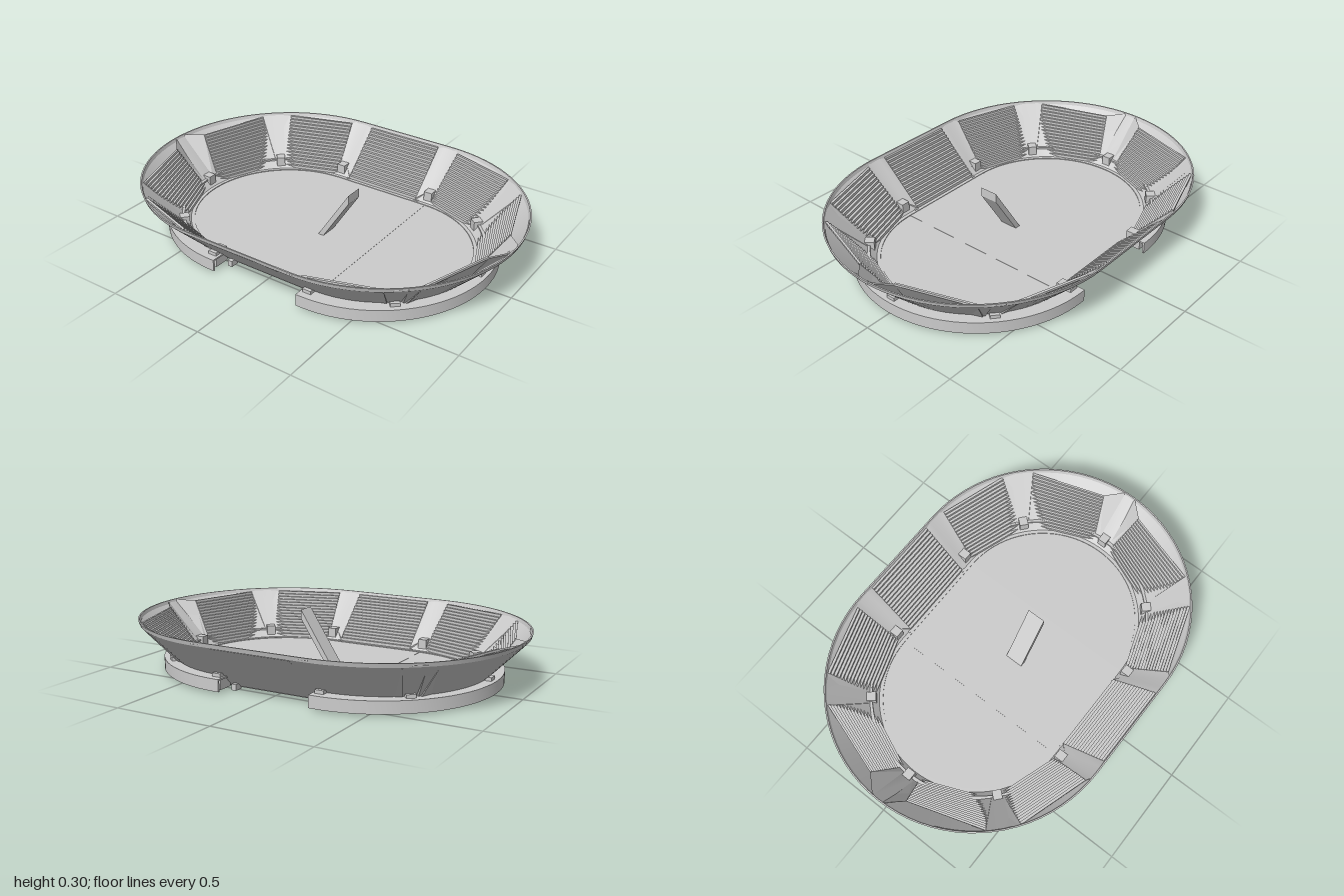
import * as THREE from 'three';
import { toCreasedNormals } from 'three/addons/utils/BufferGeometryUtils.js';

const material = new THREE.MeshStandardMaterial({ color: 0xcccccc, side: THREE.DoubleSide });
const V = (x, y, z) => new THREE.Vector3(x, y, z);

// Skin solid through successive four-point cross-sections
function loft(frames, { closed = false, flip = false } = {}, out = []) {
  const quad = (a, b, c, d) => {
    const tri = flip ? [a, c, b, a, d, c] : [a, b, c, a, c, d];
    tri.forEach((p) => out.push(p.x, p.y, p.z));
  };
  const count = frames.length;
  for (let j = 0; j < (closed ? count : count - 1); j++) {
    const a = frames[j], b = frames[(j + 1) % count];
    for (let k = 0; k < 4; k++) {
      const n = (k + 1) % 4;
      quad(a[k], a[n], b[n], b[k]);
    }
  }
  if (!closed) {
    const s = frames[0], e = frames[count - 1];
    quad(s[0], s[3], s[2], s[1]);
    quad(e[0], e[1], e[2], e[3]);
  }
  return out;
}

function addMesh(group, name, data) {
  let geometry = data;
  if (Array.isArray(data)) {
    geometry = new THREE.BufferGeometry();
    geometry.setAttribute('position', new THREE.Float32BufferAttribute(data, 3));
    geometry = toCreasedNormals(geometry, 0.4);
  }
  const mesh = new THREE.Mesh(geometry, material);
  mesh.name = name;
  group.add(mesh);
  return mesh;
}

// Half of a rounded-end oval: [centre x, angle] stations
function halfPath(c, side, gap = c) {
  const path = [];
  const start = side > 0 ? -Math.PI / 2 : Math.PI / 2;
  if (gap !== c) path.push([side * gap, start]);
  for (let i = 0; i <= 40; i++) path.push([side * c, start + (Math.PI * i) / 40]);
  if (gap !== c) path.push([side * gap, start + Math.PI]);
  return path;
}
const sections = (path, profile) =>
  path.map(([cx, a]) => profile.map(([r, y]) => V(cx + r * Math.cos(a), y, r * Math.sin(a))));

// Block of stepped seat rows between two sloping edges
function seatBlock(e0, e1, sx, sz) {
  const rows = 16, y0 = 0.03, y1 = 0.25, out = [];
  const at = (e, s, y) => V(
    sx * THREE.MathUtils.lerp(e.bottom[0], e.top[0], s), y,
    sz * THREE.MathUtils.lerp(e.bottom[1], e.top[1], s));
  for (let i = 0; i < rows; i++) {
    const s0 = i / rows, s1 = (i + 1) / rows;
    const base0 = y0 + (y1 - y0) * s0 - 0.01;
    const base1 = y0 + (y1 - y0) * s1 - 0.01;
    const tread = y0 + (y1 - y0) * s1;
    const frames = [e0, e1].map((e) =>
      [at(e, s0, base0), at(e, s1, base1), at(e, s1, tread), at(e, s0, tread)]);
    loft(frames, { flip: sx * sz < 0 }, out);
  }
  return out;
}

const C = 0.275;
const edge = (bottom, top) => ({ bottom, top });
const edges = {
  endNear: edge([0.78, 0.05], [0.92, 0.11]),
  endFar: edge([0.645, 0.37], [0.80, 0.48]),
  cornerNear: edge([0.59, 0.40], [0.68, 0.59]),
  cornerFar: edge([0.295, 0.50], [0.335, 0.70]),
  middleNear: edge([0.21, 0.49], [0.21, 0.715]),
  middleFar: edge([-0.21, 0.49], [-0.21, 0.715]),
};
const endNearMirror = edge([0.78, -0.05], [0.92, -0.11]);

// Smooth chute with splayed cheeks between two seat blocks
function aisle(e0, e1, angle, sx, sz) {
  const dx = Math.cos(angle), dz = Math.sin(angle), w = 0.028;
  const line = (side) => [[0.525, 0.065], [0.722, 0.262]].map(([r, y]) =>
    V(sx * (C + dx * r - dz * w * side), y, sz * (dz * r + dx * w * side)));
  const fromEdge = (e) => [
    V(sx * e.bottom[0], 0.04, sz * e.bottom[1]), V(sx * e.top[0], 0.25, sz * e.top[1])];
  const frames = [fromEdge(e0), line(-1), line(1), fromEdge(e1)].map(([b, t]) =>
    [b.clone().setY(b.y - 0.008), t.clone().setY(t.y - 0.008), t, b]);
  return loft(frames, { flip: sx * sz < 0 });
}

export function createModel() {
  const model = new THREE.Group();
  model.name = 'stadium';

  // Flared bowl, its lip and the curb around the pitch
  const oval = [...halfPath(C, 1), ...halfPath(C, -1)];
  const bowlProfiles = {
    bowlShell: [[0.487, 0.01], [0.719, 0.245], [0.712, 0.248], [0.482, 0.02]],
    bowlLip: [[0.719, 0.245], [0.725, 0.265], [0.718, 0.265], [0.712, 0.248]],
    pitchCurb: [[0.472, 0.01], [0.49, 0.01], [0.49, 0.028], [0.472, 0.028]],
  };
  for (const [name, profile] of Object.entries(bowlProfiles))
    addMesh(model, name, loft(sections(oval, profile), { closed: true }));

  // Base wall and ledge, open at the middle of front and back
  for (const side of [1, -1]) {
    const path = halfPath(0.26, side, 0.24);
    const data = loft(sections(path, [[0.605, 0.01], [0.615, 0.01], [0.615, 0.07], [0.605, 0.07]]));
    loft(sections(path, [[0.53, 0.062], [0.605, 0.062], [0.605, 0.07], [0.53, 0.07]]), {}, data);
    addMesh(model, 'baseRing', data);
  }

  // Pitch: middle slab and two rounded ends
  addMesh(model, 'pitchMiddle', new THREE.BoxGeometry(0.55, 0.01, 0.96)).position.y = 0.02;
  for (const side of [1, -1]) {
    const end = addMesh(model, 'pitchEnd',
      new THREE.CylinderGeometry(0.48, 0.48, 0.01, 40, 1, false, side > 0 ? 0 : Math.PI, Math.PI));
    end.position.set(side * C, 0.019, 0);
  }

  // Seat blocks
  for (const sz of [1, -1]) {
    addMesh(model, 'middleSeats', seatBlock(edges.middleNear, edges.middleFar, 1, sz));
    for (const sx of [1, -1]) {
      addMesh(model, 'endSeats', seatBlock(edges.endNear, edges.endFar, sx, sz));
      addMesh(model, 'cornerSeats', seatBlock(edges.cornerNear, edges.cornerFar, sx, sz));
    }
  }

  // Aisles, each with a gate block at its foot
  const gate = (angle, sx, sz) => {
    const box = addMesh(model, 'gate', new THREE.BoxGeometry(0.08, 0.077, 0.045));
    box.position.set(sx * (C + 0.54 * Math.cos(angle)), 0.0485, sz * 0.54 * Math.sin(angle));
    box.rotation.y = -angle * sx * sz;
  };
  const diagonal = THREE.MathUtils.degToRad(49.5), straight = Math.PI / 2;
  for (const sx of [1, -1]) {
    addMesh(model, 'endAisle', aisle(endNearMirror, edges.endNear, 0, sx, 1));
    gate(0, sx, 1);
    for (const sz of [1, -1]) {
      addMesh(model, 'cornerAisle', aisle(edges.endFar, edges.cornerNear, diagonal, sx, sz));
      addMesh(model, 'middleAisle', aisle(edges.cornerFar, edges.middleNear, straight, sx, sz));
      gate(diagonal, sx, sz);
      gate(straight, sx, sz);
      // Small foot under the corner of the middle block
      addMesh(model, 'foot', new THREE.BoxGeometry(0.025, 0.03, 0.045))
        .position.set(sx * 0.215, 0.015, sz * 0.505);
    }
  }

  // Slanting board standing on the pitch
  const board = new THREE.Shape([[-0.03, 0.005], [0, 0.005], [0.16, 0.25], [0.16, 0.297]]
    .map(([x, y]) => new THREE.Vector2(x, y)));
  addMesh(model, 'slantedBoard', new THREE.ExtrudeGeometry(board, { depth: 0.093, bevelEnabled: false }))
    .position.z = -0.015;

  return model;
}
